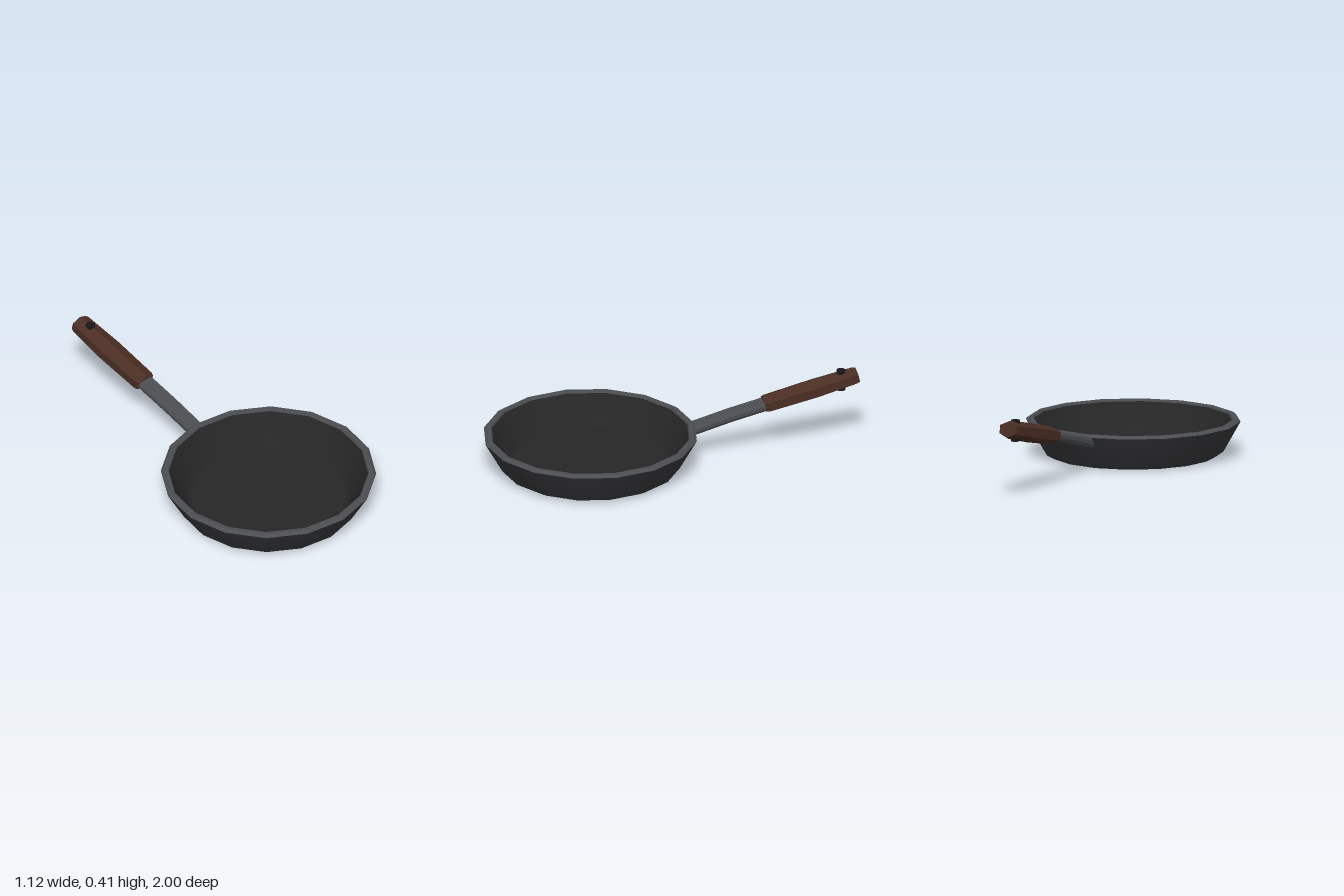
import * as THREE from 'three';

const material = (name, color, side = THREE.FrontSide) => {
  const m = new THREE.MeshStandardMaterial({ color, side });
  m.name = name;
  return m;
};

const TILT = 0.23; // upward slope of the handle

// Sweeps a closed outline towards -z; each station is [z, y, halfWidth, halfHeight].
function sweep(outline, stations) {
  const n = outline.length;
  const positions = [];
  const index = [];
  for (const [z, y, w, h] of stations) {
    for (const [u, v] of outline) {
      positions.push(u * w, y + v * h * Math.cos(TILT), z + v * h * Math.sin(TILT));
    }
  }
  const last = (stations.length - 1) * n;
  for (let s = 0; s < last; s += n) {
    for (let i = 0; i < n; i++) {
      const j = (i + 1) % n;
      index.push(s + i, s + n + i, s + j, s + j, s + n + i, s + n + j);
    }
  }
  for (let i = 1; i < n - 1; i++) {
    index.push(0, i, i + 1, last, last + i + 1, last + i);
  }
  const g = new THREE.BufferGeometry();
  g.setAttribute('position', new THREE.Float32BufferAttribute(positions, 3));
  g.setIndex(index);
  const flat = g.toNonIndexed();
  flat.computeVertexNormals();
  return flat;
}

export function createModel() {
  const pan = new THREE.Group();
  pan.name = 'fryingPan';

  const iron = material('dark iron', 0x343537);
  const coating = material('black coating', 0x262626);
  const steel = material('grey steel', 0x4c4d51);
  const wood = material('brown wood', 0x4a2e24);
  const black = material('black rivet', 0x18181a);

  const add = (name, geometry, mat, parent = pan) => {
    const mesh = new THREE.Mesh(geometry, mat);
    mesh.name = name;
    parent.add(mesh);
    return mesh;
  };

  // Sixteen-sided bowl: outside, rim and cooking surface
  const bowl = new THREE.Group();
  bowl.name = 'bowl';
  bowl.position.z = 0.44;
  pan.add(bowl);
  const turned = (points) =>
    new THREE.LatheGeometry(points.map(([r, y]) => new THREE.Vector2(r, y)), 16);
  add('outerWall', turned([[0, 0], [0.43, 0], [0.47, 0.022], [0.56, 0.183]]), iron, bowl);
  const rim = turned([[0.56, 0.183], [0.545, 0.195], [0.523, 0.195], [0.518, 0.185]]).toNonIndexed();
  rim.computeVertexNormals();
  add('rim', rim, steel, bowl);
  add('cookingSurface', turned([[0.518, 0.185], [0.435, 0.04], [0.4, 0.025], [0, 0.025]]), coating, bowl);

  // Steel bar with chamfered sides, rising from the wall
  const barOutline = [
    [1, -0.4], [1, 0.4], [0.8, 1], [-0.8, 1], [-1, 0.4], [-1, -0.4], [-0.8, -1], [0.8, -1],
  ];
  add('handleBar', sweep(barOutline, [
    [-0.075, 0.15, 0.044, 0.024],
    [-0.3, 0.211, 0.046, 0.023],
    [-0.52, 0.262, 0.046, 0.023],
  ]), steel);

  // Six-sided wooden grip with a ridge on top, swelling in the middle
  const gripOutline = [[1, -0.5], [1, 0.5], [0, 1], [-1, 0.5], [-1, -0.5], [0, -1]];
  add('grip', sweep(gripOutline, [
    [-0.488, 0.255, 0.052, 0.041],
    [-0.503, 0.259, 0.057, 0.047],
    [-0.76, 0.317, 0.06, 0.051],
    [-0.97, 0.366, 0.051, 0.047],
    [-0.987, 0.37, 0.046, 0.042],
  ]), wood);

  // Pin through the end of the grip
  const pin = add('gripPin', new THREE.CylinderGeometry(0.024, 0.024, 0.112, 8), black);
  pin.position.set(0, 0.351, -0.9);

  return pan;
}
